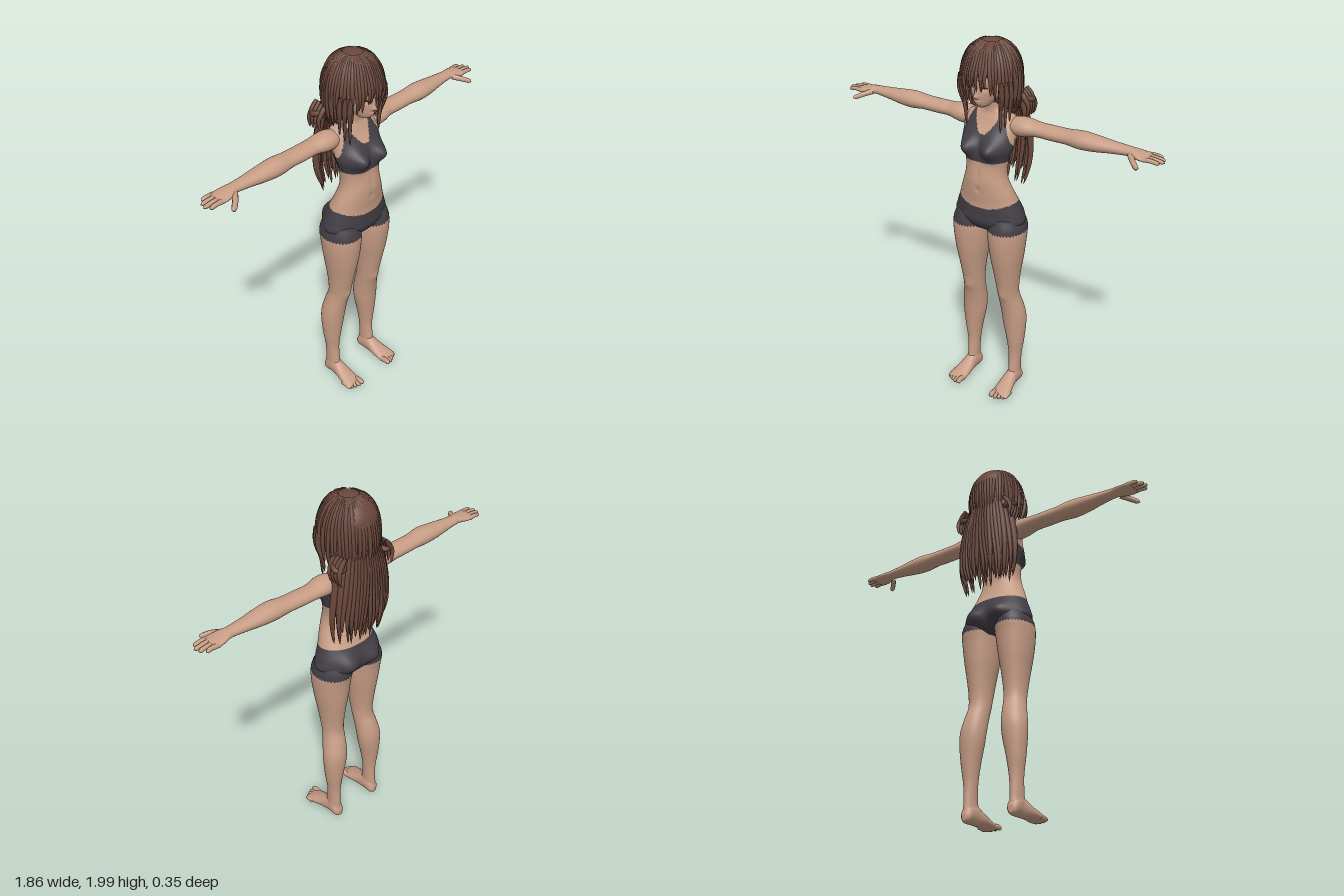
import * as THREE from 'three';

const paint = (name, color) => {
  const m = new THREE.MeshStandardMaterial({ color });
  m.name = name;
  return m;
};
const skin = paint('skin', 0xc79d85);
const hair = paint('hair', 0x6a473b);
const cloth = paint('cloth', 0x423e45);

const V = (x, y, z) => new THREE.Vector3(x, y, z);
const bump = (a, b, ra, rb) => Math.exp(-((a / ra) ** 2) - (b / rb) ** 2);
let seed = 7;
const rand = () => (seed = (seed * 16807) % 2147483647) / 2147483647;

// Smooth skin through sections [along, aMin, aMax, bMin, bMax]; a and b are the other two axes in order.
function loft(name, axis, rows, mats, { seg = 32, div = 5, bend, isSecond } = {}) {
  const mid = new THREE.CatmullRomCurve3(rows.map(r => V(r[0], (r[1] + r[2]) / 2, (r[3] + r[4]) / 2)), false, 'catmullrom');
  const rad = new THREE.CatmullRomCurve3(rows.map(r => V((r[2] - r[1]) / 2, (r[4] - r[3]) / 2, 0)), false, 'catmullrom');
  const place = { x: (u, a, b) => V(u, a, b), y: (u, a, b) => V(a, u, b), z: (u, a, b) => V(a, b, u) }[axis];
  const steps = (rows.length - 1) * div, pts = [], tris = [];
  for (let i = 0; i <= steps; i++) {
    const c = mid.getPoint(i / steps), r = rad.getPoint(i / steps);
    for (let j = 0; j < seg; j++) {
      const t = (j / seg) * Math.PI * 2;
      pts.push(place(c.x, c.y + r.x * Math.cos(t), c.z + r.y * Math.sin(t)));
    }
  }
  const ends = [mid.getPoint(0), mid.getPoint(1)].map(c => pts.push(place(c.x, c.y, c.z)) - 1);
  for (let j = 0; j < seg; j++) {
    const k = (j + 1) % seg;
    for (let i = 0; i < steps; i++) {
      const p = i * seg, q = p + seg;
      tris.push([p + j, p + k, q + k], [p + j, q + k, q + j]);
    }
    tris.push([ends[0], k, j], [ends[1], steps * seg + j, steps * seg + k]);
  }
  if (axis === 'y') tris.forEach(t => t.reverse());
  if (bend) pts.forEach(bend);
  const g = new THREE.BufferGeometry().setFromPoints(pts);
  const centre = t => pts[t[0]].clone().add(pts[t[1]]).add(pts[t[2]]).divideScalar(3);
  const second = isSecond ? tris.filter(t => isSecond(centre(t))) : [];
  const chosen = new Set(second);
  const first = tris.filter(t => !chosen.has(t));
  g.setIndex([...first, ...second].flat());
  if (isSecond) {
    g.addGroup(0, first.length * 3, 0);
    g.addGroup(first.length * 3, second.length * 3, 1);
  }
  g.computeVertexNormals();
  const mesh = new THREE.Mesh(g, mats);
  mesh.name = name;
  return mesh;
}

// Tapered round strand through points
function strand(name, pts, r, mat, taper, seg = 12, sides = 7) {
  const curve = new THREE.CatmullRomCurve3(pts.map(p => V(...p)));
  const g = new THREE.TubeGeometry(curve, seg, r, sides, false);
  const pos = g.attributes.position, v = V(0, 0, 0);
  for (let i = 0; i < pos.count; i++) {
    const t = Math.floor(i / (sides + 1)) / seg, c = curve.getPointAt(t);
    v.fromBufferAttribute(pos, i).sub(c).multiplyScalar(taper(t)).add(c);
    pos.setXYZ(i, v.x, v.y, v.z);
  }
  const mesh = new THREE.Mesh(g, mat);
  mesh.name = name;
  return mesh;
}
const digitTaper = t => (t > 0.8 ? Math.sqrt(Math.max(0, 1 - ((t - 0.8) / 0.2) ** 2)) : 1) * (1 - 0.2 * t);
const lockTaper = t => Math.min(1, 0.45 + t * 2.5) * Math.pow(Math.max(0, 1 - t), 0.45);

function mirrored(mesh) {
  const m = mesh.clone();
  m.geometry = mesh.geometry.clone().scale(-1, 1, 1);
  const a = m.geometry.index.array;
  for (let i = 0; i < a.length; i += 3) [a[i], a[i + 2]] = [a[i + 2], a[i]];
  return m;
}

export function createModel() {
  const model = new THREE.Group();
  model.name = 'figure';
  const group = name => {
    const g = new THREE.Group();
    g.name = name;
    model.add(g);
    return g;
  };
  const both = (parent, mesh) => parent.add(mesh, mirrored(mesh));

  // Torso and neck, with the top and shorts as coloured faces
  const body = [
    [0.985, 0.05, -0.06, 0.06], [1.01, 0.14, -0.09, 0.095], [1.05, 0.2, -0.108, 0.118], [1.1, 0.192, -0.108, 0.12],
    [1.16, 0.168, -0.09, 0.12], [1.22, 0.145, -0.065, 0.126], [1.28, 0.121, -0.048, 0.13], [1.33, 0.112, -0.048, 0.125],
    [1.39, 0.118, -0.055, 0.116], [1.46, 0.135, -0.072, 0.108], [1.52, 0.15, -0.082, 0.086], [1.57, 0.165, -0.085, 0.055],
    [1.6, 0.148, -0.08, 0.04], [1.625, 0.095, -0.07, 0.03], [1.65, 0.055, -0.06, 0.03], [1.7, 0.047, -0.055, 0.04],
    [1.76, 0.047, -0.055, 0.04]
  ].map(([y, w, back, front]) => [y, -w, w, back, front]);
  model.add(loft('torso', 'y', body, [skin, cloth], {
    seg: 96, div: 8,
    bend: p => {
      const x = Math.abs(p.x);
      if (p.z > 0.01) {
        p.z += 0.058 * bump(x - 0.066, p.y - 1.462, 0.045, 0.05);
        p.z -= 0.007 * bump(x, p.y - 1.24, 0.01, 0.014) + 0.004 * bump(x, p.y - 1.33, 0.012, 0.06);
        p.x *= 1 + 0.07 * bump(0, p.y - 1.46, 1, 0.05);
      }
      if (p.z < -0.02) p.z -= 0.038 * bump(x - 0.085, p.y - 1.075, 0.06, 0.055);
    },
    isSecond: ({ x, y, z }) => {
      const ax = Math.abs(x);
      const shorts = y < (z > 0 ? 1.135 + 1.2 * x * x : 1.17);
      const top = y > 1.39 && y < 1.63 && y < 1.525 + 18 * x * x && ax < 0.16 - Math.max(0, y - 1.45) * 0.4;
      return shorts || top;
    }
  }));

  // Legs with shorts hems
  const legs = group('legs');
  both(legs, loft('leg', 'y', [
    [0.03, 0.11, 0.165, -0.08, -0.01], [0.06, 0.106, 0.171, -0.083, 0.015], [0.1, 0.108, 0.168, -0.08, 0.012],
    [0.2, 0.102, 0.173, -0.078, 0.003], [0.3, 0.087, 0.187, -0.09, 0.012], [0.4, 0.066, 0.196, -0.1, 0.022],
    [0.47, 0.058, 0.194, -0.1, 0.03], [0.54, 0.055, 0.18, -0.085, 0.043], [0.6, 0.052, 0.169, -0.066, 0.055],
    [0.66, 0.048, 0.17, -0.064, 0.07], [0.75, 0.037, 0.18, -0.075, 0.09], [0.85, 0.02, 0.196, -0.09, 0.11],
    [0.95, 0.008, 0.207, -0.102, 0.122], [1.02, 0.005, 0.207, -0.112, 0.12], [1.08, 0.02, 0.185, -0.095, 0.1]
  ], [skin, cloth], {
    seg: 40, div: 6, isSecond: p => p.y > 1.005,
    bend: p => { if (p.z > 0.01) p.z += 0.01 * bump(p.x - 0.11, p.y - 0.605, 0.03, 0.035); }
  }));

  // Feet and toes
  both(legs, loft('foot', 'z', [
    [-0.088, 0.12, 0.152, 0.012, 0.05], [-0.07, 0.106, 0.168, 0, 0.085], [-0.03, 0.103, 0.17, 0, 0.11],
    [0.005, 0.102, 0.173, 0, 0.1], [0.05, 0.097, 0.183, 0.003, 0.072], [0.1, 0.095, 0.194, 0, 0.048],
    [0.135, 0.097, 0.198, 0, 0.032], [0.15, 0.107, 0.19, 0.004, 0.024]
  ], skin));
  [[0.111, 0.18, 0.016], [0.134, 0.177, 0.012], [0.154, 0.17, 0.0115], [0.172, 0.16, 0.011], [0.188, 0.148, 0.0105]]
    .forEach(([x, z, r]) => both(legs, strand('toe', [[x, 0.019, z - 0.06], [x, r + 0.007, z - 0.025], [x, r, z]], r, skin, digitTaper, 10, 8)));

  // Arms and palms
  const arms = group('arms');
  both(arms, loft('arm', 'x', [
    [0.09, 1.53, 1.6, -0.065, 0.015], [0.15, 1.52, 1.617, -0.083, 0.033], [0.2, 1.525, 1.617, -0.085, 0.035],
    [0.26, 1.535, 1.607, -0.082, 0.022], [0.34, 1.535, 1.607, -0.08, 0.022], [0.42, 1.536, 1.609, -0.078, 0.022],
    [0.5, 1.53, 1.618, -0.08, 0.03], [0.58, 1.535, 1.612, -0.076, 0.024], [0.66, 1.545, 1.604, -0.068, 0.012],
    [0.74, 1.553, 1.598, -0.062, 0.004], [0.77, 1.554, 1.595, -0.067, 0.012], [0.81, 1.55, 1.588, -0.076, 0.022],
    [0.845, 1.552, 1.581, -0.077, 0.021], [0.86, 1.558, 1.574, -0.07, 0.012]
  ], skin));

  // Fingers and thumbs
  [[-0.066, 0.9], [-0.041, 0.923], [-0.016, 0.93], [0.009, 0.915]].forEach(([z, x]) =>
    both(arms, strand('finger', [[0.83, 1.567, z], [0.875, 1.569, z], [x, 1.562, z * 1.05]], 0.0125, skin, digitTaper, 12, 8)));
  both(arms, strand('thumb', [[0.765, 1.57, 0], [0.795, 1.56, 0.038], [0.838, 1.541, 0.076]], 0.0155, skin, digitTaper, 12, 8));

  // Head with nose, lips and eye sockets shaped in
  const head = group('head');
  const skull = [
    [1.672, 0.018, 0.05, 0.096], [1.685, 0.038, 0.02, 0.113], [1.71, 0.055, -0.02, 0.122], [1.74, 0.068, -0.05, 0.126],
    [1.79, 0.08, -0.08, 0.13], [1.85, 0.086, -0.1, 0.13], [1.92, 0.075, -0.08, 0.105], [1.965, 0.03, -0.03, 0.05]
  ].map(([y, w, back, front]) => [y, -w, w, back, front]);
  head.add(loft('face', 'y', skull, skin, {
    seg: 72, div: 8,
    bend: p => {
      if (p.z < 0.05) return;
      const x = Math.abs(p.x);
      p.z += 0.024 * bump(x, p.y - 1.737, 0.011, 0.012) + 0.014 * bump(x, p.y - 1.765, 0.009, 0.025);
      p.z += 0.008 * bump(x, p.y - 1.709, 0.018, 0.005) + 0.007 * bump(x, p.y - 1.698, 0.015, 0.005);
      p.z -= 0.009 * bump(x - 0.035, p.y - 1.778, 0.02, 0.014);
    }
  }));
  both(head, strand('eyelash', [[0.019, 1.776, 0.118], [0.035, 1.782, 0.114], [0.056, 1.775, 0.1]], 0.004, hair, lockTaper, 8, 6));

  // Hair cap, open around the face
  const hairdo = group('hair');
  const cap = [
    [1.6, 0.08, -0.14, -0.05], [1.65, 0.115, -0.143, -0.01], [1.7, 0.14, -0.15, 0.04], [1.78, 0.149, -0.155, 0.13],
    [1.84, 0.146, -0.155, 0.14], [1.9, 0.13, -0.15, 0.13], [1.95, 0.098, -0.12, 0.097], [1.98, 0.06, -0.075, 0.055],
    [1.993, 0.02, -0.03, 0.01]
  ].map(([y, w, back, front]) => [y, -w, w, back, front]);
  hairdo.add(loft('hairCap', 'y', cap, hair, {
    seg: 72,
    bend: p => {
      const k = 1 - THREE.MathUtils.smoothstep(p.y, 1.8, 1.85);
      if (p.z > 0.03) p.z += (0.03 - p.z) * k;
    }
  }));

  // Locks sweeping from the crown: fringe in front, longer at the sides and back
  const onCap = (a, y, out = 0) => {
    const f = Math.sqrt(Math.max(0, 1 - (Math.max(0, y - 1.8) / 0.195) ** 2)) + out;
    return [0.147 * Math.sin(a) * f, y, -0.006 + 0.15 * Math.cos(a) * f];
  };
  for (let i = 0; i < 56; i++) {
    const a = ((i + 0.5) / 56) * Math.PI * 2 - Math.PI, side = Math.abs(a);
    const low = side < 0.45 ? 1.775 : side < 0.8 ? 1.73 : side < 1.3 ? 1.68 : 1.655;
    const end = low + (rand() - 0.5) * 0.035, b = a + (rand() - 0.5) * 0.12;
    const mid = (1.88 + end) / 2;
    hairdo.add(strand('capLock', [onCap(a, 1.985), onCap(a, 1.95), onCap(a, 1.88), onCap(b, mid, 0.02), onCap(b, end, -0.06)],
      0.014 + rand() * 0.004, hair, lockTaper, 14));
  }

  // Thin locks beside the face down to the chest
  for (const [x, z, y] of [[0.1, 0.075, 1.55], [0.115, 0.055, 1.57], [0.125, 0.03, 1.6]])
    both(hairdo, strand('sideLock', [[x + 0.02, 1.82, z + 0.02], [x + 0.022, 1.74, z + 0.015], [x + 0.005, 1.66, z], [x, y, z - 0.005]], 0.015, hair, lockTaper));

  // Tied knots behind the ears
  const knot = new THREE.Mesh(new THREE.TorusGeometry(0.026, 0.014, 8, 18).rotateX(1.3).translate(0.15, 1.69, -0.1), hair);
  knot.name = 'hairKnot';
  both(hairdo, knot);
  for (let i = 0; i < 4; i++) {
    const z = -0.06 - i * 0.022;
    both(hairdo, strand('knotLock', [[0.13, 1.74, z], [0.158, 1.7, z], [0.175, 1.665, z - 0.005], [0.165, 1.6, z - 0.01]], 0.016, hair, lockTaper));
  }

  // Long back hair in two layers
  for (let layer = 0; layer < 2; layer++)
    for (let i = 0; i < 19; i++) {
      const u = (i / 18) * 2 - 1, curve = Math.sqrt(1 - u * u * 0.9);
      const z = -0.06 - 0.075 * curve - layer * 0.018 * curve, end = 1.21 + rand() * 0.09 + layer * 0.02;
      const sway = (rand() - 0.5) * 0.03;
      hairdo.add(strand('backLock', [
        [u * 0.115, 1.74, z + 0.01], [u * 0.15, 1.62, z], [u * 0.178 + sway * 0.3, 1.48, z - 0.005],
        [u * 0.18 + sway, 1.36, z], [u * 0.155 + sway, end, z + 0.015]
      ], 0.018 + rand() * 0.004, hair, lockTaper, 16));
    }

  return model;
}
